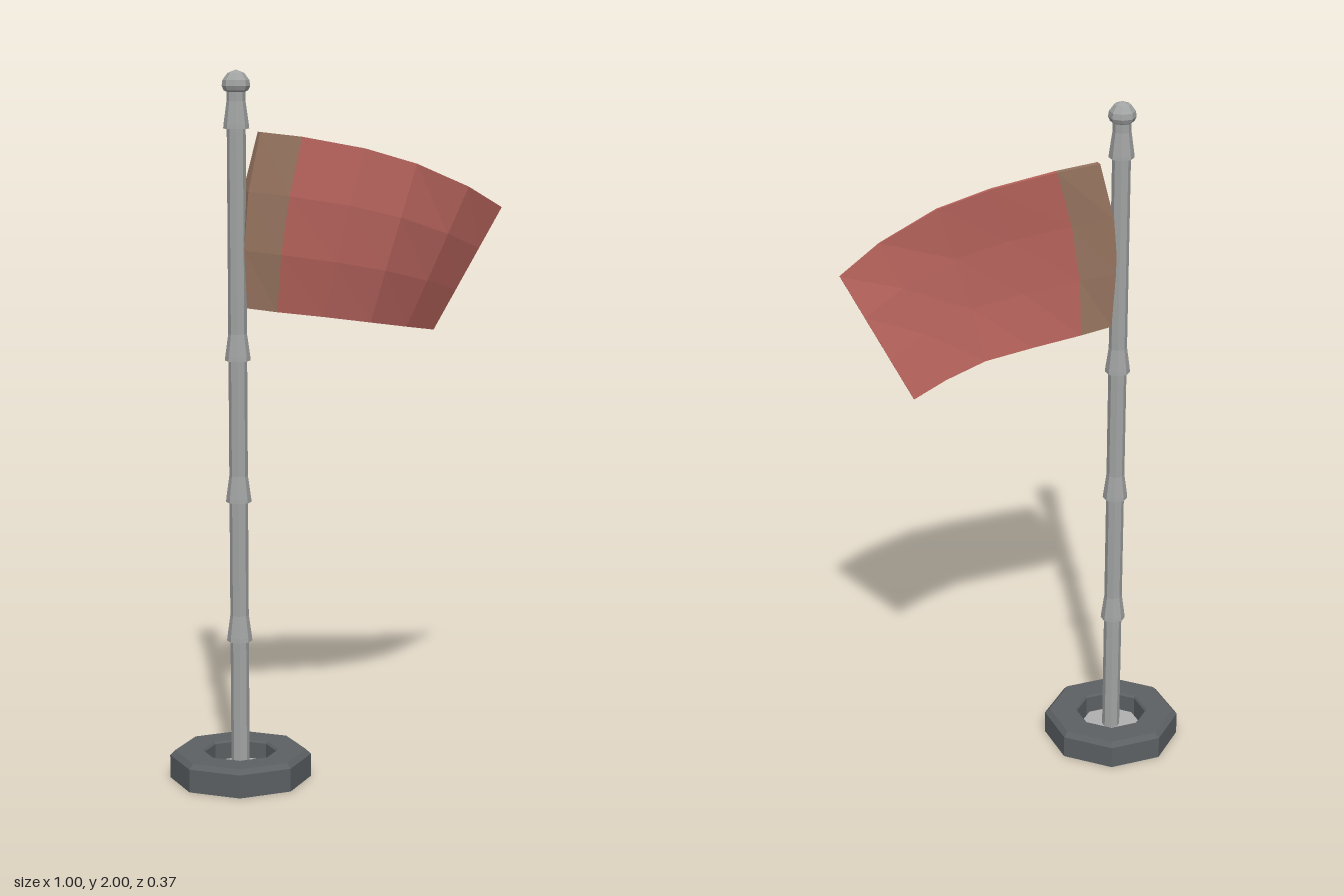
import * as THREE from 'three';

const paint = (name, color, side = THREE.FrontSide) =>
  new THREE.MeshStandardMaterial({ name, color, side, flatShading: true });

// Eight-sided turned part; profile is [flat-to-centre distance, height], running upward
function turned(name, profile, material) {
  const k = 1 / Math.cos(Math.PI / 8);
  const points = profile.map(([r, y]) => new THREE.Vector2(r * k, y));
  const mesh = new THREE.Mesh(new THREE.LatheGeometry(points, 8, Math.PI / 8, Math.PI * 2), material);
  mesh.name = name;
  return mesh;
}

// Flag edges from pole to free end: [x, y, z]
const TOP = [[-0.25, 1.83, 0.005], [-0.13, 1.815, 0.02], [0.05, 1.78, 0.047],
  [0.2, 1.735, 0.068], [0.37, 1.665, 0.055], [0.495, 1.6, 0.02]];
const BOTTOM = [[-0.29, 1.345, 0], [-0.2, 1.33, 0.004], [-0.06, 1.31, 0.013],
  [0.08, 1.288, 0.02], [0.21, 1.265, -0.015], [0.32, 1.245, -0.063]];
const ROWS = 3;

// Closed cross-section of the cloth at one column: down the front, up the back
function clothSection(i) {
  const u = i / (TOP.length - 1);
  const front = [], back = [];
  for (let r = 0; r <= ROWS; r++) {
    const v = r / ROWS, belly = Math.sin(Math.PI * v);
    const p = TOP[i].map((t, a) => t + (BOTTOM[i][a] - t) * v);
    p[0] -= 0.03 * belly * (1 - u);
    p[2] += 0.02 * belly * Math.sin(Math.PI * u);
    const half = 0.002 + (0.007 + 0.012 * belly) * Math.pow(1 - u, 1.5);
    front.push([p[0], p[1], p[2] + half]);
    back.unshift([p[0], p[1], p[2] - half]);
  }
  return [...front, ...back];
}

// Cloth between two columns, with its ends closed where asked
function cloth(name, from, to, capStart, capEnd, material) {
  const pos = [];
  const quad = (a, b, c, d) => pos.push(...a, ...b, ...c, ...a, ...c, ...d);
  const n = 2 * (ROWS + 1);
  for (let i = from; i < to; i++) {
    const s = clothSection(i), e = clothSection(i + 1);
    for (let k = 0; k < n; k++) {
      const m = (k + 1) % n;
      quad(s[k], s[m], e[m], e[k]);
    }
  }
  const s = clothSection(from), e = clothSection(to);
  for (let k = 0; k < ROWS; k++) {
    if (capStart) quad(s[k], s[n - 1 - k], s[n - 2 - k], s[k + 1]);
    if (capEnd) quad(e[k], e[k + 1], e[n - 2 - k], e[n - 1 - k]);
  }
  const geometry = new THREE.BufferGeometry();
  geometry.setAttribute('position', new THREE.Float32BufferAttribute(pos, 3));
  geometry.computeVertexNormals();
  const mesh = new THREE.Mesh(geometry, material);
  mesh.name = name;
  return mesh;
}

export function createModel() {
  const model = new THREE.Group();
  model.name = 'flagpole';
  const darkGrey = paint('dark grey', 0x5c6063);
  const steel = paint('steel grey', 0xa2a3a3);
  const lightGrey = paint('light grey', 0xb0b0b0);
  const red = paint('faded red', 0xb5625b);
  const brown = paint('brown', 0x96735f);

  const stand = new THREE.Group();
  stand.name = 'stand';
  stand.position.x = -0.315;
  model.add(stand);

  // Heavy ring base with bevelled rims, and the plate set in its hole
  stand.add(turned('base', [[0.095, 0], [0.185, 0], [0.185, 0.066], [0.172, 0.08],
    [0.1, 0.08], [0.095, 0.074], [0.095, 0]], darkGrey));
  stand.add(turned('basePlate', [[0, 0.002], [0.084, 0.002], [0.084, 0.03], [0, 0.03]], lightGrey));

  // Pole and its flared collars
  stand.add(turned('pole', [[0.024, 0.03], [0.024, 1.94]], steel));
  for (const y of [0.4, 0.8, 1.2, 1.84]) {
    stand.add(turned('collar', [[0.023, y], [0.033, y], [0.032, y + 0.012], [0.024, y + 0.075]], steel));
  }

  // Domed finial
  stand.add(turned('finial', [[0.02, 1.938], [0.031, 1.944], [0.036, 1.956], [0.034, 1.972],
    [0.021, 1.991], [0, 2]], steel));

  // Waving flag with a hoist band beside the pole
  const flag = new THREE.Group();
  flag.name = 'flag';
  flag.add(cloth('hoistBand', 0, 1, true, false, brown));
  flag.add(cloth('flagField', 1, TOP.length - 1, false, true, red));
  model.add(flag);

  return model;
}
